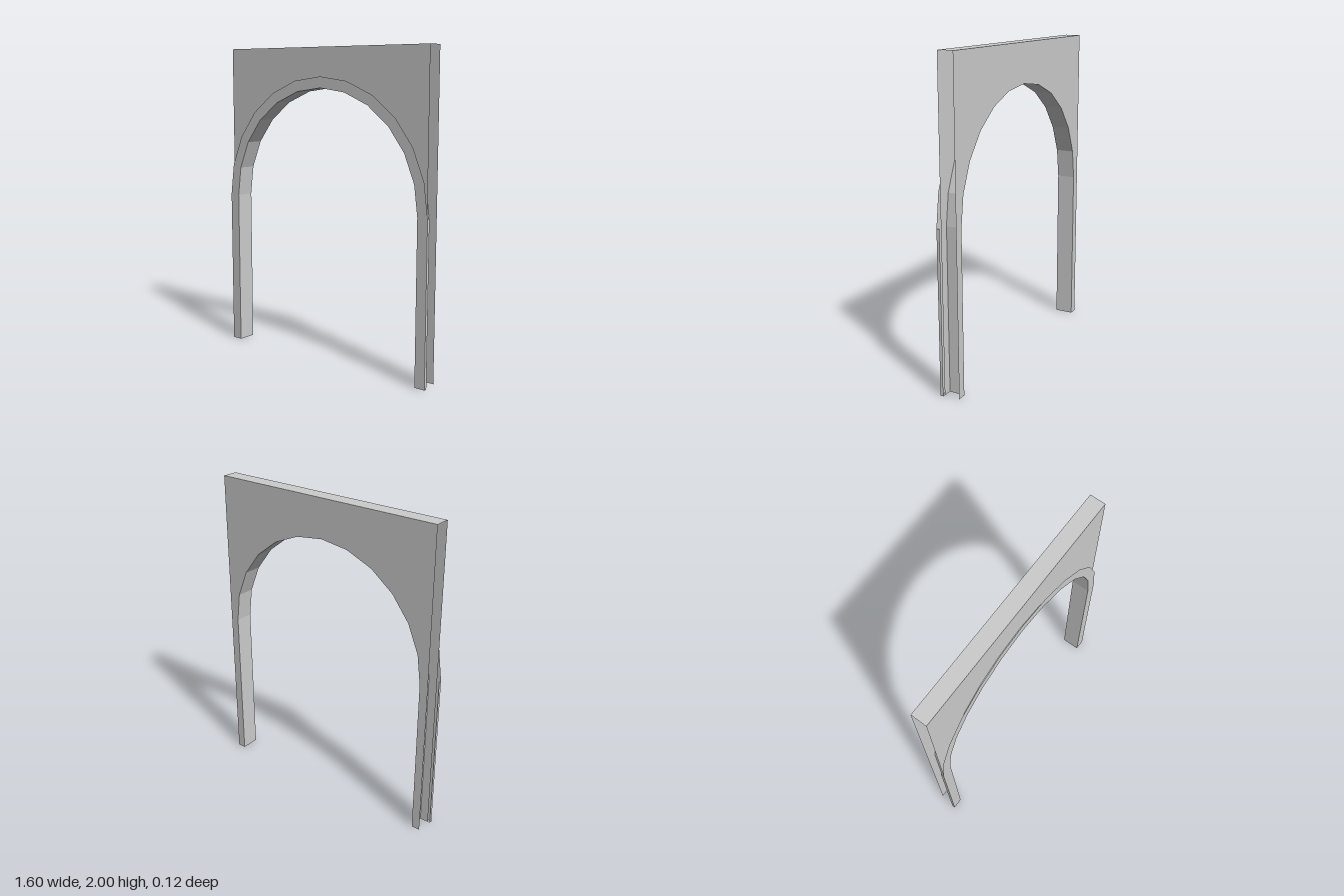
import * as THREE from 'three';

const BACK = -0.06, PANEL = 0.04, FRONT = 0.06; // depth layers
const HALF = 0.785, TOP = 2, SPRING = 1.02;     // panel half width, height, arch spring line
const INNER = 0.73, OUTER = 0.8;                // arch radii
const SEGMENTS = 12;

// Outline of a doorway arch from right foot over the crown to left foot
function archPoints(r) {
  const pts = [new THREE.Vector2(r, 0)];
  for (let i = 0; i <= SEGMENTS; i++) {
    const a = (Math.PI * i) / SEGMENTS;
    pts.push(new THREE.Vector2(r * Math.cos(a), SPRING + r * Math.sin(a)));
  }
  pts.push(new THREE.Vector2(-r, 0));
  return pts;
}

// Flat sheet swept through depth along a polyline, facing the inside of the arch
function sweep(pts, z0, z1) {
  const pos = [];
  for (let i = 0; i < pts.length - 1; i++) {
    const p = pts[i], q = pts[i + 1];
    pos.push(p.x, p.y, z0, p.x, p.y, z1, q.x, q.y, z1);
    pos.push(p.x, p.y, z0, q.x, q.y, z1, q.x, q.y, z0);
  }
  const g = new THREE.BufferGeometry();
  g.setAttribute('position', new THREE.Float32BufferAttribute(pos, 3));
  g.computeVertexNormals();
  return g;
}

export function createModel() {
  const group = new THREE.Group();
  group.name = 'archway';
  const stone = new THREE.MeshStandardMaterial({ color: 0xcccccc, side: THREE.DoubleSide, flatShading: true });
  stone.name = 'light grey';
  const add = (name, geometry) => {
    const mesh = new THREE.Mesh(geometry, stone);
    mesh.name = name;
    group.add(mesh);
    return mesh;
  };
  const inner = archPoints(INNER), outer = archPoints(OUTER);
  const v = (x, y) => new THREE.Vector2(x, y);

  // Wall panels with the arched opening; the ends stay open
  const wall = new THREE.Shape([...inner, v(-HALF, 0), v(-HALF, TOP), v(HALF, TOP), v(HALF, 0)]);
  add('frontPanel', new THREE.ShapeGeometry(wall)).position.z = PANEL;
  const back = add('backPanel', new THREE.ShapeGeometry(wall));
  back.rotation.y = Math.PI;
  back.position.z = BACK;

  // Top cap
  add('topCap', sweep([v(-HALF, TOP), v(HALF, TOP)], BACK, PANEL).rotateX(0));

  // Lining of the opening
  add('archLining', sweep(inner, BACK, FRONT));

  // Raised trim around the opening
  const trim = new THREE.Shape([...outer, ...inner.slice().reverse()]);
  add('archTrim', new THREE.ShapeGeometry(trim)).position.z = FRONT;

  // Outer edges and feet of the trim on both legs
  for (const [side, s] of [['left', 1], ['right', -1]]) {
    const edge = [v(s * OUTER, 0), v(s * OUTER, SPRING)];
    const foot = [v(s * INNER, 0), v(s * OUTER, 0)];
    add(side + 'TrimEdge', sweep(s > 0 ? edge.reverse() : edge, PANEL, FRONT));
    add(side + 'TrimFoot', sweep(s > 0 ? foot.reverse() : foot, PANEL, FRONT));
  }
  return group;
}
